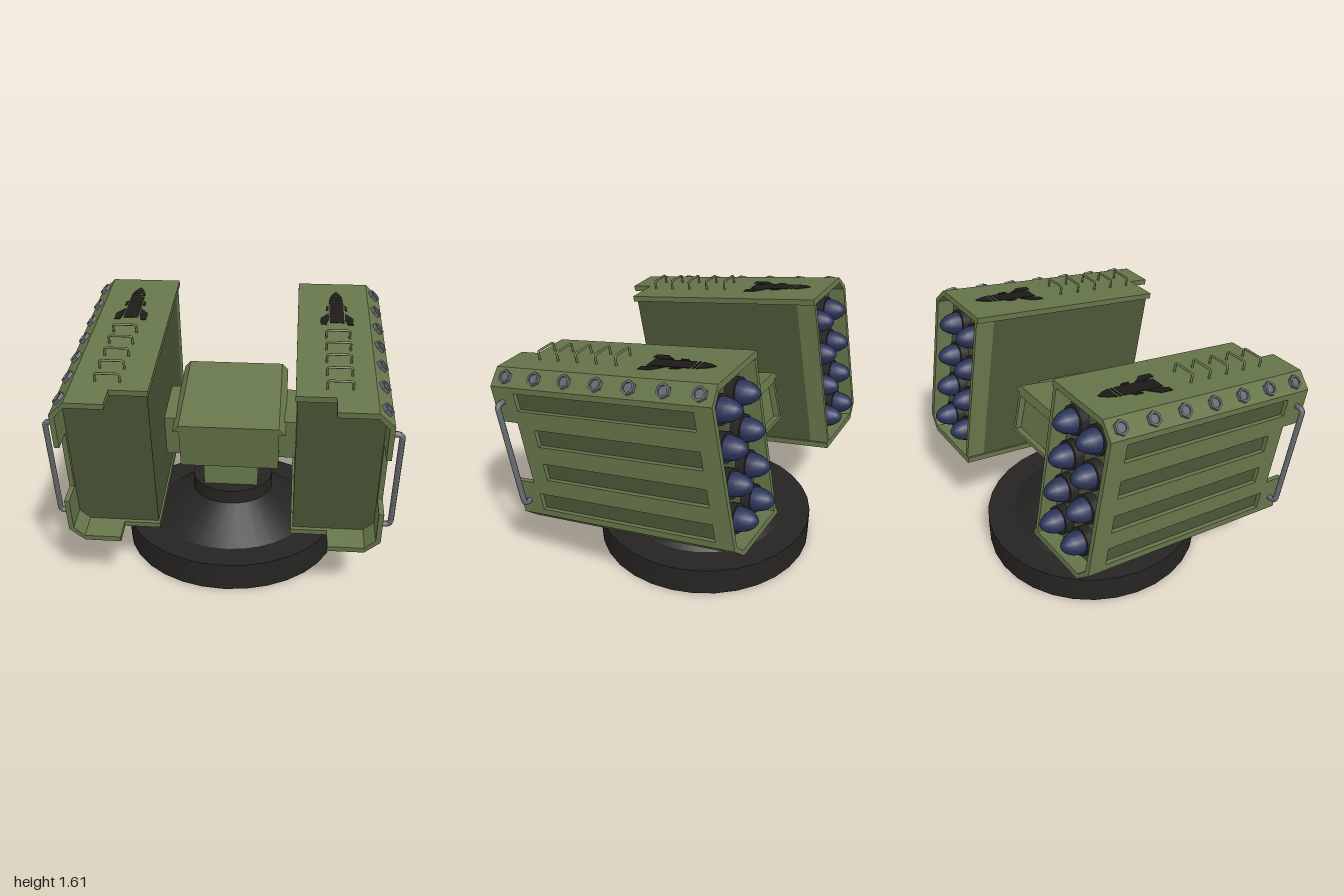
import * as THREE from 'three';

const mat = (color, extra = {}) => new THREE.MeshStandardMaterial({ color, ...extra });
const green = mat(0x66754a);
const darkGreen = mat(0x4c5637);
const black = mat(0x262422);
const decalBlack = mat(0x1c1b18, { side: THREE.DoubleSide });
const blue = mat(0x2a3358);
const steel = mat(0x66696e);

function add(parent, name, geometry, material, x = 0, y = 0, z = 0) {
  const mesh = new THREE.Mesh(geometry, material);
  mesh.name = name;
  mesh.position.set(x, y, z);
  parent.add(mesh);
  return mesh;
}

const polygon = pts => new THREE.Shape(pts.map(([x, y]) => new THREE.Vector2(x, y)));
const rectangle = (x0, y0, x1, y1) => polygon([[x0, y0], [x1, y0], [x1, y1], [x0, y1]]);
const extrude = (shape, depth) =>
  new THREE.ExtrudeGeometry(shape, { depth, bevelEnabled: false, curveSegments: 16 });

// Flat plate outlined in x and z, thickened upwards from y = 0
const plate = (pts, t) => extrude(polygon(pts.map(([x, z]) => [x, -z])), t).rotateX(-Math.PI / 2);

// Bent rod through four points with rounded corners
function staple(points, bend, radius) {
  const [a, b, c, d] = points.map(p => new THREE.Vector3(...p));
  const toward = (p, q) => p.clone().add(q.clone().sub(p).setLength(bend));
  const path = new THREE.CurvePath();
  path.add(new THREE.LineCurve3(a, toward(b, a)));
  path.add(new THREE.QuadraticBezierCurve3(toward(b, a), b, toward(b, c)));
  path.add(new THREE.LineCurve3(toward(b, c), toward(c, b)));
  path.add(new THREE.QuadraticBezierCurve3(toward(c, b), c, toward(c, d)));
  path.add(new THREE.LineCurve3(toward(c, d), d));
  return new THREE.TubeGeometry(path, 64, radius, 8);
}

// Box whose lower and upper faces differ: [halfX, z0, z1] at each height
function frustum(y0, [x0, b0, f0], y1, [x1, b1, f1]) {
  const g = new THREE.BoxGeometry(2, 2, 2).toNonIndexed();
  const p = g.attributes.position;
  for (let i = 0; i < p.count; i++) {
    const top = p.getY(i) > 0, front = p.getZ(i) > 0;
    p.setXYZ(i, p.getX(i) * (top ? x1 : x0), top ? y1 : y0,
      top ? (front ? f1 : b1) : (front ? f0 : b0));
  }
  g.computeVertexNormals();
  return g;
}

function createBase() {
  const base = new THREE.Group();
  base.name = 'base';
  base.position.z = -0.1;
  add(base, 'baseDisc', new THREE.CylinderGeometry(0.705, 0.705, 0.18, 32), black, 0, 0.09);
  add(base, 'baseCone', new THREE.CylinderGeometry(0.265, 0.53, 0.175, 32), black, 0, 0.2675);
  add(base, 'baseCollar', new THREE.CylinderGeometry(0.265, 0.265, 0.09, 32), black, 0, 0.4);
  add(base, 'neck', new THREE.BoxGeometry(0.35, 0.36, 0.34), green, 0, 0.62);
  return base;
}

function createHead() {
  const head = new THREE.Group();
  head.name = 'head';
  head.position.set(0, 1.03, -0.08);
  head.rotation.x = 0.23;
  add(head, 'headLid', frustum(-0.045, [0.35, -0.345, 0.345], 0, [0.31, -0.345, 0.345]), green);
  add(head, 'headBody', new THREE.BoxGeometry(0.62, 0.275, 0.65), green, 0, -0.1825, 0.02);
  const frame = rectangle(-0.31, -0.32, 0.31, -0.04);
  frame.holes.push(rectangle(-0.288, -0.298, 0.288, -0.062));
  add(head, 'headBackFrame', extrude(frame, 0.042), green, 0, 0, -0.345);
  add(head, 'headUnderside', frustum(-0.41, [0.175, -0.2, 0.2], -0.32, [0.31, -0.345, 0.345]), green);
  return head;
}

// Painted rocket silhouette, pointing to the back
function createMark() {
  const mark = new THREE.Group();
  mark.name = 'rocketMark';
  const mirrored = pts => [...pts, ...pts.slice().reverse().map(([x, z]) => [-x, z])];
  const pieces = [
    mirrored([[0.004, -0.61], [0.028, -0.57], [0.043, -0.515]]),
    mirrored([[0.044, -0.503], [0.044, -0.488]]),
    mirrored([[0.044, -0.476], [0.044, -0.21]]),
    ...[1, -1].map(s => [[0.05, -0.43], [0.065, -0.41], [0.065, -0.36], [0.05, -0.37]]
      .map(([x, z]) => [s * x, z])),
    ...[1, -1].map(s => [[0.05, -0.33], [0.1, -0.265], [0.1, -0.186], [0.065, -0.186], [0.05, -0.25]]
      .map(([x, z]) => [s * x, z])),
  ];
  pieces.forEach(pts => add(mark, 'markPiece', plate(pts, 0.003), decalBlack));
  mark.position.set(0.64, 0.508, 0);
  return mark;
}

function createBolt() {
  const bolt = new THREE.Group();
  bolt.name = 'bolt';
  const hex = polygon([...Array(6)].map((_, i) =>
    [0.043 * Math.cos(i * Math.PI / 3), 0.043 * Math.sin(i * Math.PI / 3)]));
  hex.holes.push(new THREE.Path().absarc(0, 0, 0.027, 0, Math.PI * 2, true));
  add(bolt, 'nut', extrude(hex, 0.02).rotateX(-Math.PI / 2), steel);
  add(bolt, 'boltCore', new THREE.CylinderGeometry(0.027, 0.027, 0.012, 16), steel, 0, 0.005);
  return bolt;
}

// Launcher pod on the +x side
function createPod() {
  const pod = new THREE.Group();
  pod.name = 'pod';
  const H = 0.508, L = 0.728, CUT = 0.593, T = 0.035;

  // Inner core, seen through the side slots and at both ends
  const core = polygon([[0.412, -H + T], [0.835, -H + T], [0.905, -0.41], [0.905, 0.41],
    [0.835, H - T], [0.412, H - T]]);
  add(pod, 'podCore', extrude(core, 1.19), darkGreen, 0, 0, -0.62);
  add(pod, 'innerWall', new THREE.BoxGeometry(0.025, 2 * (H - T), L - 0.61), green, 0.4245, 0, -(L + 0.61) / 2);

  // Top and bottom plates, cut back at the inner front corner
  const outline = [[0.4, -L], [0.84, -L], [0.84, L], [0.62, L], [0.62, CUT], [0.4, CUT]];
  add(pod, 'topPlate', plate(outline, T), green, 0, H - T);
  add(pod, 'bottomPlate', plate(outline, T), green, 0, -H);

  // Bevelled outer edges
  for (const s of [1, -1]) {
    const edge = polygon([[0.84, s * H], [0.93, s * 0.423], [0.9, s * 0.41], [0.84, s * (H - T)]]);
    add(pod, 'bevelEdge', extrude(edge, 2 * L), green, 0, 0, -L);
  }

  // Outer side with a front notch and four slots
  const side = polygon([[-L, -0.423], [L, -0.423], [L, 0.423], [-L, 0.423],
    [-L, 0.2], [-CUT, 0.2], [-CUT, -0.2], [-L, -0.2]]);
  [[0.332, 0.567], [0.11, 0.478], [-0.112, 0.478], [-0.328, 0.567]].forEach(([y, front]) =>
    side.holes.push(rectangle(-front, y - 0.055, 0.617, y + 0.055)));
  add(pod, 'sidePlate', extrude(side, 0.03).rotateY(Math.PI / 2), green, 0.9);

  // Bolts along the upper bevel
  for (let i = 0; i < 7; i++) {
    const bolt = createBolt();
    bolt.position.set(0.885, 0.4655, 0.633 - i * 0.2133);
    bolt.rotation.z = -Math.PI / 4;
    pod.add(bolt);
  }

  // Side rail and top rungs
  add(pod, 'sideRail', staple([[0.91, 0.33, 0.66], [0.982, 0.33, 0.66],
    [0.982, -0.33, 0.66], [0.91, -0.33, 0.66]], 0.03, 0.017), steel);
  for (let i = 0; i < 5; i++) {
    const z = -0.03 + i * 0.135;
    add(pod, 'rung', staple([[0.57, 0.5, z], [0.57, 0.56, z], [0.71, 0.56, z], [0.71, 0.5, z]],
      0.015, 0.007), green);
  }
  pod.add(createMark());

  // Rockets in two columns of four
  const nose = new THREE.LatheGeometry([[0.072, 0], [0.069, 0.035], [0.058, 0.075], [0.04, 0.105],
    [0.02, 0.123], [0, 0.129]].map(([x, y]) => new THREE.Vector2(x, y)), 16).rotateX(-Math.PI / 2);
  const tube = new THREE.CylinderGeometry(0.085, 0.085, 0.08, 20).rotateX(Math.PI / 2);
  for (const x of [0.535, 0.745]) {
    for (let row = 0; row < 4; row++) {
      const y = 0.32 - row * 0.22;
      add(pod, 'rocketTube', tube, black, x, y, -0.632);
      add(pod, 'rocketNose', nose, blue, x, y, -0.66);
    }
  }

  pod.position.set(0, 0.98, 0.015);
  pod.rotation.x = 0.1745;
  return pod;
}

export function createModel() {
  const model = new THREE.Group();
  model.name = 'rocketLauncher';
  model.add(createBase(), createHead());

  const arm = add(model, 'crossArm', new THREE.BoxGeometry(0.84, 0.28, 0.36), green, 0, 0.84, -0.065);
  arm.rotation.x = 0.1745;

  for (const s of [1, -1]) {
    const half = new THREE.Group();
    half.name = s > 0 ? 'leftPod' : 'rightPod';
    half.add(createPod());
    half.scale.x = s;
    model.add(half);
  }
  return model;
}
